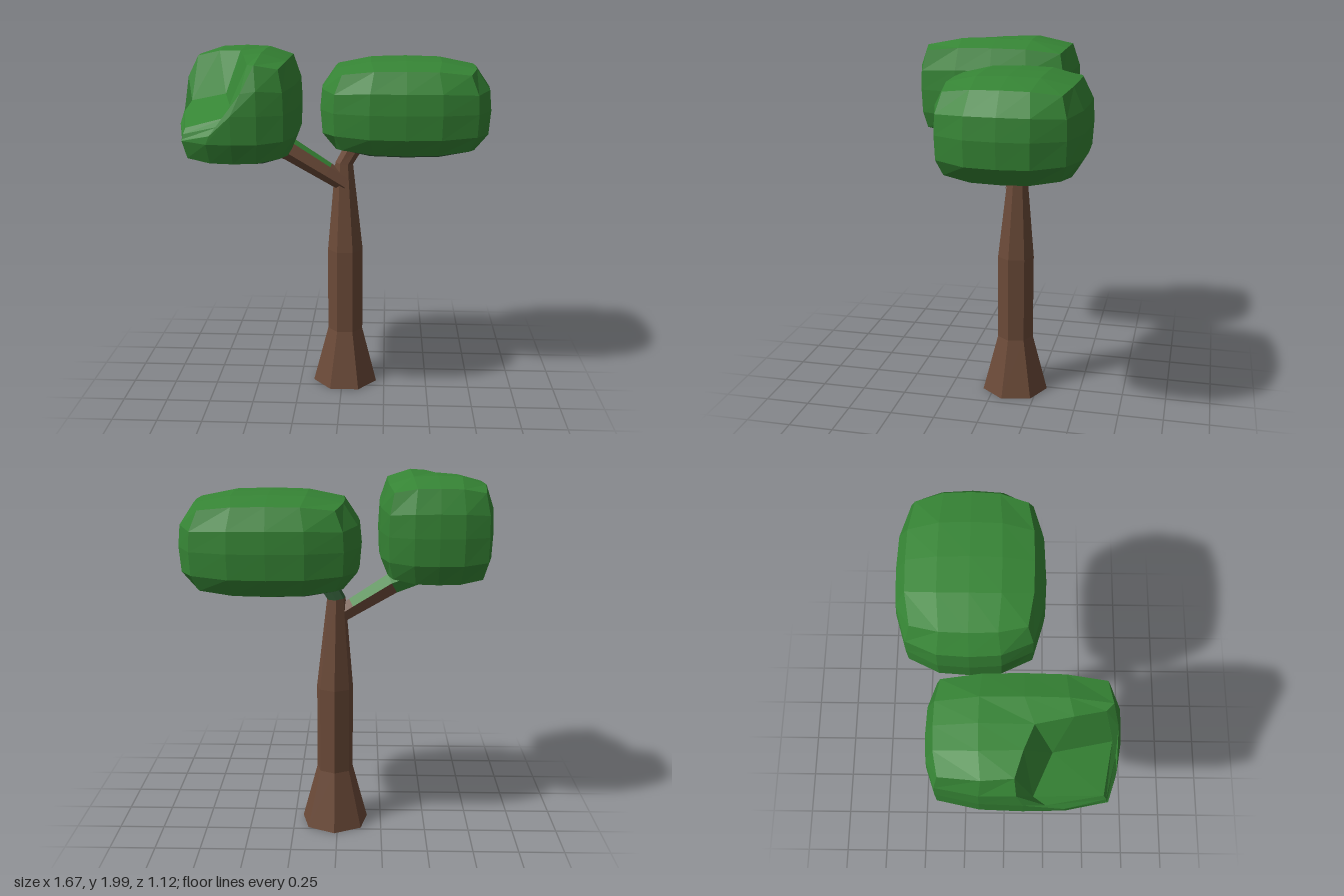
import * as THREE from 'three';

const mat = (name, color) => {
  const m = new THREE.MeshStandardMaterial({ color, flatShading: true });
  m.name = name;
  return m;
};

// Skin between polygon rings [x, y, z, radius, tilt]; isGreen(segment, side) picks the second material
function loft(rings, sides, phase, isGreen) {
  const point = ([x, y, z, r, a], k) => {
    const t = ((k - 0.5) / sides) * Math.PI * 2 + phase;
    return [x + r * Math.sin(t) * Math.cos(a), y + r * Math.sin(t) * Math.sin(a), z + r * Math.cos(t)];
  };
  const pos = [];
  const geo = new THREE.BufferGeometry();
  for (let i = 0; i < rings.length - 1; i++) {
    for (let k = 0; k < sides; k++) {
      const a = point(rings[i], k), b = point(rings[i], k + 1);
      const c = point(rings[i + 1], k + 1), d = point(rings[i + 1], k);
      geo.addGroup(pos.length / 3, 6, isGreen(i, k) ? 1 : 0);
      pos.push(...a, ...b, ...c, ...a, ...c, ...d);
    }
  }
  geo.setAttribute('position', new THREE.Float32BufferAttribute(pos, 3));
  geo.computeVertexNormals();
  return geo;
}

// Bulging box whose edges draw in by the bevel; moved relocates single grid points
function puff(center, half, bevel, moved = {}) {
  const geo = new THREE.BoxGeometry(2, 2, 2, 4, 4, 4);
  const p = geo.attributes.position;
  const inset = (a, b) => {
    const u = Math.abs(a) ** 3, w = Math.abs(b) ** 3;
    return u + w - 0.5 * u * w;
  };
  for (let i = 0; i < p.count; i++) {
    const x = p.getX(i), y = p.getY(i), z = p.getZ(i);
    const drop = y === -0.5 ? 0.02 : 0;
    const v = moved[[x, y, z].join()] ?? [
      center[0] + x * (half[0] - bevel[0] * inset(y, z)),
      center[1] + y * (half[1] - bevel[1] * inset(x, z)) - drop,
      center[2] + z * (half[2] - bevel[2] * inset(x, y)),
    ];
    p.setXYZ(i, ...v);
  }
  geo.computeVertexNormals();
  return geo;
}

// Scoop in the front outer upper corner: grid point -> place
const scoop = {
  // upper rim
  '0,1,0': [-0.53, 1.985, 0.14],
  '0,1,0.5': [-0.49, 1.98, 0.32],
  '0,1,1': [-0.45, 1.945, 0.47],
  '-0.5,1,0': [-0.65, 1.98, 0.09],
  '-1,1,0': [-0.775, 1.95, 0.05],
  // floor
  '-0.5,1,0.5': [-0.6, 1.77, 0.23],
  '-0.5,1,1': [-0.52, 1.7, 0.52],
  '-1,1,0.5': [-0.8, 1.72, 0.14],
  '-1,1,1': [-0.77, 1.63, 0.48],
  // front below the floor
  '0,0.5,1': [-0.48, 1.81, 0.54],
  '-0.5,0.5,1': [-0.58, 1.65, 0.54],
  '-0.5,0,1': [-0.64, 1.6, 0.55],
  // outer side below the floor
  '-1,0.5,0': [-0.83, 1.84, 0.06],
  '-1,0.5,0.5': [-0.83, 1.67, 0.2],
  '-1,0,0.5': [-0.835, 1.62, 0.29],
  // outer front corner
  '-1,0.5,1': [-0.78, 1.6, 0.495],
  '-1,0,1': [-0.785, 1.575, 0.5],
};

export function createModel() {
  const tree = new THREE.Group();
  tree.name = 'tree';
  const bark = mat('bark brown', 0x6b4a38);
  const leaf = mat('leaf green', 0x368535);
  const shade = mat('dull green', 0x345f3a);
  const red = mat('base red', 0x9c2a30);
  const foliage = [leaf, leaf, leaf, shade, leaf, leaf];
  const add = (name, geo, material) => {
    const mesh = new THREE.Mesh(geo, material);
    mesh.name = name;
    tree.add(mesh);
  };

  // Seven-sided trunk with a flared foot and a bent tip, green at the back
  const X = 0.016, Z = -0.114;
  add('trunk', loft([
    [X, 0, Z, 0.192, 0],
    [X, 0.33, Z, 0.104, 0],
    [X, 0.82, Z, 0.104, 0],
    [0.008, 1.33, -0.12, 0.052, -0.1],
    [0.06, 1.42, -0.125, 0.05, -0.5],
    [0.13, 1.54, -0.13, 0.045, -0.5],
  ], 7, 0, (i, k) => i >= 3 && k >= 2 && k <= 5), [bark, shade]);

  // Underside of the trunk
  const base = new THREE.CircleGeometry(0.192, 7, -Math.PI / 2).rotateX(Math.PI / 2);
  base.translate(X, 0, Z);
  add('trunkBase', base, red);

  // Side branch, green along its upper faces away from the trunk
  add('branch', loft([
    [0.02, 1.21, -0.1, 0.05, 1.03],
    [-0.09, 1.28, -0.098, 0.056, 1.03],
    [-0.3, 1.41, -0.095, 0.065, 1.1],
    [-0.5, 1.48, -0.09, 0.058, 1.25],
  ], 6, 0.31, (i, k) => i > 0 && (k === 1 || k === 2 || (i === 2 && k === 3))), [bark, leaf]);

  // Wide foliage on the trunk
  add('leftFoliage', puff([0.35, 1.652, -0.177], [0.48, 0.272, 0.387], [0.09, 0.045, 0.065]), foliage);

  // Long foliage on the branch, scooped at one corner
  add('rightFoliage', puff([-0.53, 1.7, 0.093], [0.31, 0.3, 0.467], [0.05, 0.05, 0.05], scoop), foliage);

  return tree;
}
